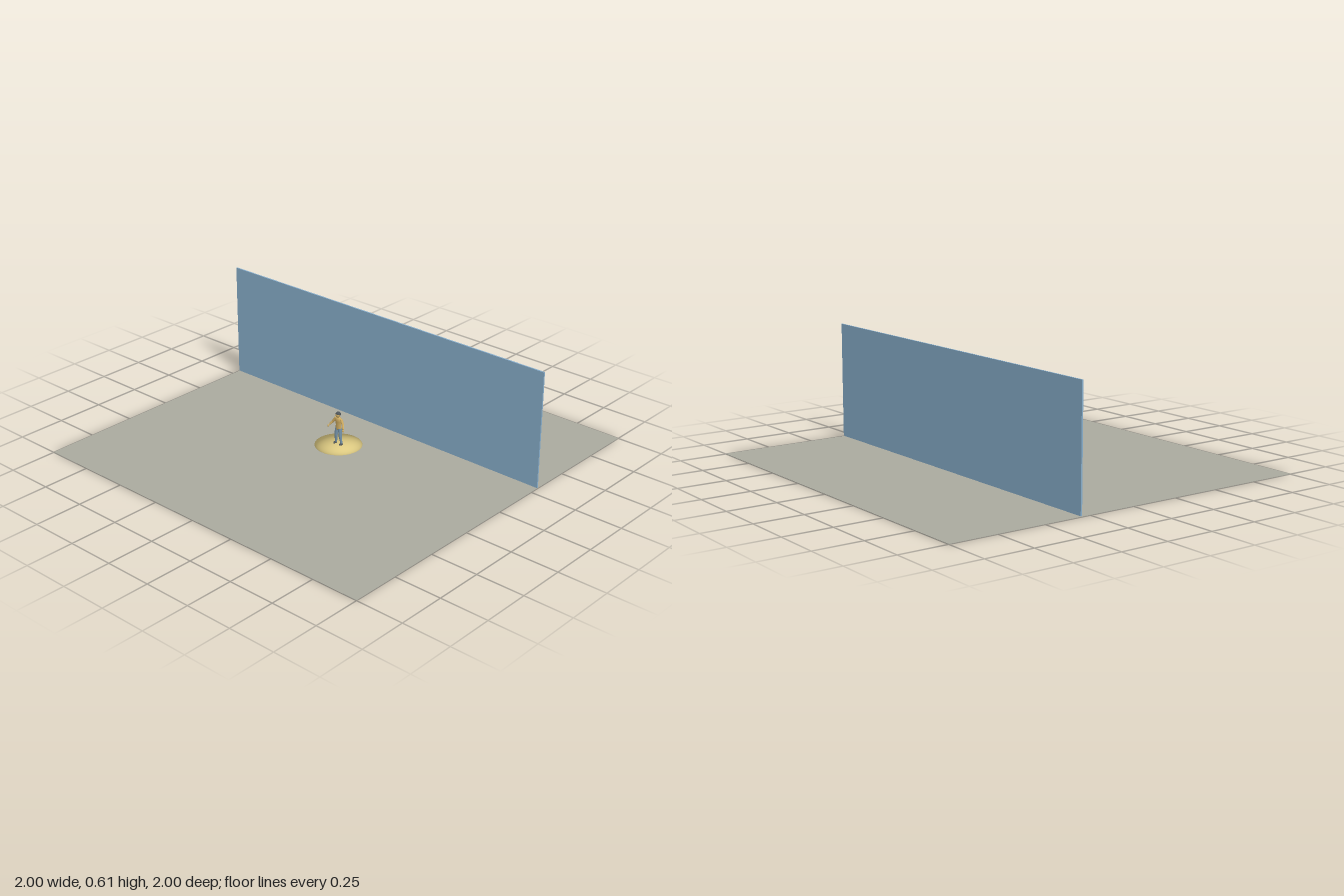
import * as THREE from 'three';

const mat = (name, color, side = THREE.FrontSide) => {
  const m = new THREE.MeshStandardMaterial({ color, side });
  m.name = name;
  return m;
};

export function createModel() {
  const stone = mat('stone grey', 0xa9a99e);
  const blue = mat('wall blue', 0x87adca);
  const gold = mat('pale gold', 0xdcc981);
  const tan = mat('tan cloth', 0xcdab62);
  const denim = mat('trouser blue', 0x7796ad);
  const dark = mat('dark grey', 0x4d5459);

  const model = new THREE.Group();
  const add = (name, geometry, material, x = 0, y = 0, z = 0, parent = model) => {
    const mesh = new THREE.Mesh(geometry, material);
    mesh.name = name;
    mesh.position.set(x, y, z);
    parent.add(mesh);
    return mesh;
  };

  // Ground and standing wall
  add('ground', new THREE.BoxGeometry(2, 0.002, 2), stone, 0, 0.001, 0);
  add('wall', new THREE.BoxGeometry(2, 0.604, 0.008), blue, 0, 0.306, -0.3);

  // Flattened ball as a base; it keeps its round normals
  const disc = new THREE.SphereGeometry(0.12, 48, 24);
  const p = disc.attributes.position;
  for (let i = 0; i < p.count; i++) p.setY(i, p.getY(i) * 0.035);
  add('base', disc, gold, 0, 0.006, 0);

  // Standing figure
  const figure = new THREE.Group();
  figure.name = 'figure';
  model.add(figure);

  // Tapered limb between two points
  const limb = (name, a, b, ra, rb, material) => {
    const from = new THREE.Vector3(...a), to = new THREE.Vector3(...b);
    const dir = to.clone().sub(from);
    const mesh = add(name, new THREE.CylinderGeometry(rb, ra, dir.length(), 12), material, 0, 0, 0, figure);
    mesh.position.copy(from).add(to).multiplyScalar(0.5);
    mesh.quaternion.setFromUnitVectors(new THREE.Vector3(0, 1, 0), dir.normalize());
  };
  const ball = (name, r, material, pos, scale = [1, 1, 1]) =>
    add(name, new THREE.SphereGeometry(r, 16, 12), material, ...pos, figure).scale.set(...scale);

  // Torso: hips, waist, chest, shoulders
  const profile = [[0, 0.088], [0.015, 0.09], [0.018, 0.1], [0.015, 0.116],
    [0.019, 0.135], [0.021, 0.147], [0.015, 0.155], [0.006, 0.159], [0, 0.16]]
    .map(([x, y]) => new THREE.Vector2(x, y));
  add('torso', new THREE.LatheGeometry(profile, 20), tan, 0, 0, 0, figure).scale.z = 0.62;

  // Neck, head and hair
  limb('neck', [0, 0.154, 0.001], [0, 0.166, 0.002], 0.006, 0.006, tan);
  ball('head', 0.0125, tan, [0, 0.172, 0.004], [0.92, 1.1, 1]);
  add('hair', new THREE.SphereGeometry(0.014, 16, 10, 0, Math.PI * 2, 0, Math.PI * 0.52), dark, 0, 0.174, 0.002, figure)
    .rotation.x = -0.35;

  for (const s of [1, -1]) {
    const side = s > 0 ? 'left' : 'right';
    // Arms held out and slightly forward
    ball(side + 'Shoulder', 0.0075, tan, [s * 0.019, 0.147, 0]);
    limb(side + 'UpperArm', [s * 0.019, 0.148, 0], [s * 0.034, 0.125, 0.004], 0.0073, 0.006, tan);
    ball(side + 'Elbow', 0.006, tan, [s * 0.034, 0.125, 0.004]);
    limb(side + 'Forearm', [s * 0.034, 0.125, 0.004], [s * 0.046, 0.108, 0.017], 0.006, 0.0042, tan);
    ball(side + 'Hand', 0.0055, tan, [s * 0.049, 0.103, 0.021], [0.8, 1.2, 0.9]);
    // Legs slightly apart, with shoes
    limb(side + 'Thigh', [s * 0.01, 0.098, 0], [s * 0.014, 0.055, 0.002], 0.0105, 0.008, denim);
    ball(side + 'Knee', 0.008, denim, [s * 0.014, 0.055, 0.002]);
    limb(side + 'Shin', [s * 0.014, 0.055, 0.002], [s * 0.018, 0.015, -0.002], 0.008, 0.0055, denim);
    ball(side + 'Shoe', 0.0075, dark, [s * 0.019, 0.013, 0.003], [0.9, 0.75, 1.7]);
  }
  return model;
}
